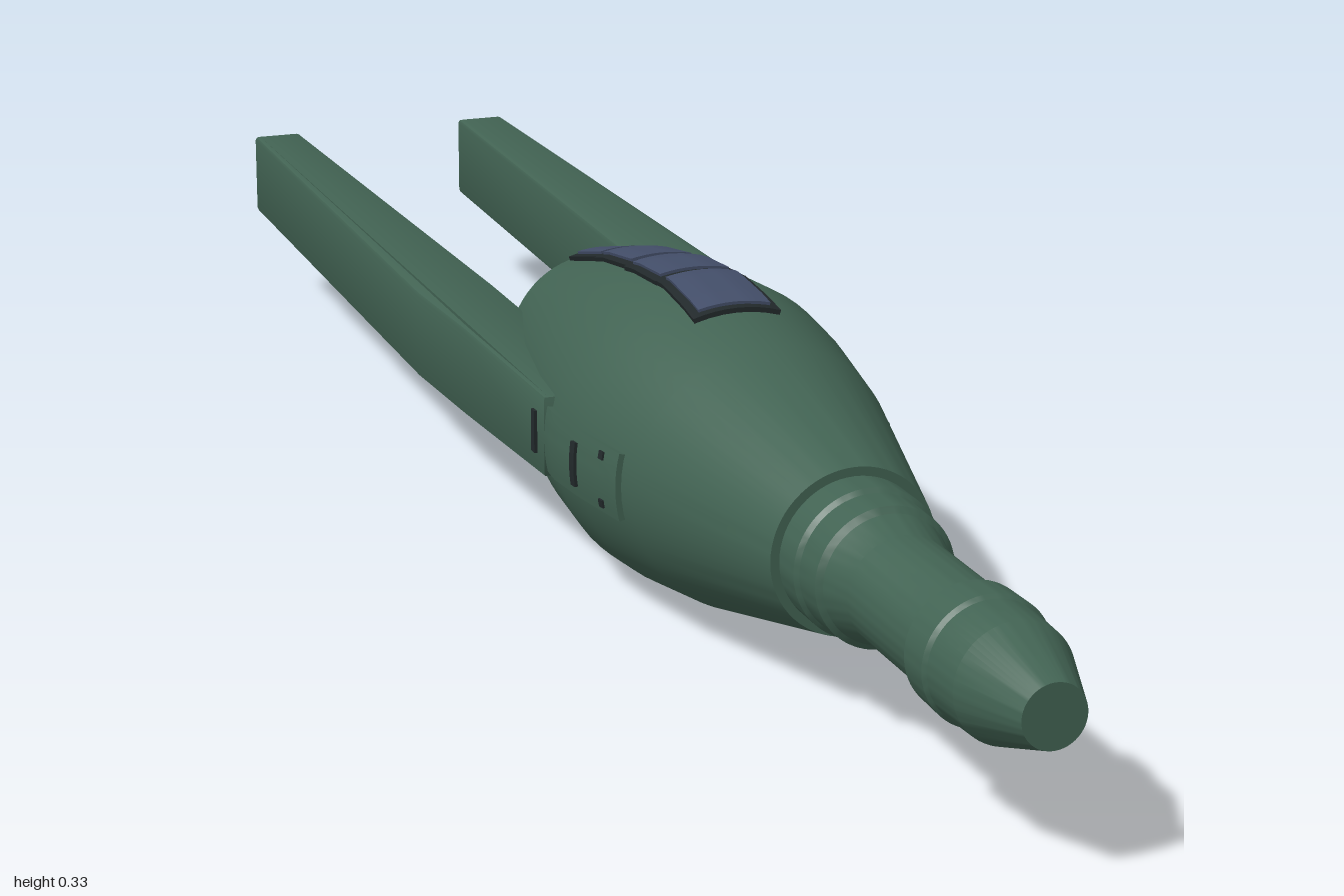
import * as THREE from 'three';
import { toCreasedNormals } from 'three/addons/utils/BufferGeometryUtils.js';

const CY = 0.162; // height of the hull axis

// Hull profile as [z, radius], rear to front
const HULL = [[-0.172, 0.097], [-0.03, 0.135], [0.08, 0.153], [0.17, 0.16], [0.23, 0.155], [0.34, 0.138], [0.565, 0.084]];
const NECK = [[0.55, 0.075], [0.6, 0.075], [0.605, 0.071], [0.64, 0.07], [0.645, 0.064], [0.68, 0.055], [0.82, 0.055],
  [0.825, 0.062], [0.865, 0.063], [0.87, 0.06], [0.92, 0.058], [1, 0.031]];

function hullRadius(z) {
  for (let i = 1; i < HULL.length; i++) {
    const [z0, r0] = HULL[i - 1], [z1, r1] = HULL[i];
    if (z <= z1) return r0 + (r1 - r0) * (z - z0) / (z1 - z0);
  }
  return HULL[HULL.length - 1][1];
}

// Capped solid of revolution along z
function revolve(profile) {
  const pts = profile.map(([z, r]) => new THREE.Vector2(r, z));
  pts.unshift(new THREE.Vector2(0, pts[0].y));
  pts.push(new THREE.Vector2(0, pts[pts.length - 1].y));
  const geo = new THREE.LatheGeometry(pts, 64).rotateX(Math.PI / 2).translate(0, CY, 0);
  return toCreasedNormals(geo, 0.3);
}

// Slab bent over the hull: z range, half widths at both ends, angle from the top, outer offset
function patch(z0, z1, w0, w1, angle, lift, shift = 0) {
  const geo = new THREE.BoxGeometry(2, 1, 1, 8, 1, 12);
  const p = geo.attributes.position;
  for (let i = 0; i < p.count; i++) {
    const t = p.getZ(i) + 0.5;
    const z = z0 + (z1 - z0) * t;
    const r = hullRadius(z);
    const a = angle + (p.getX(i) * (w0 + (w1 - w0) * t) + shift) / r;
    const R = r + (p.getY(i) > 0 ? lift : -0.008);
    p.setXYZ(i, Math.sin(a) * R, CY + Math.cos(a) * R, z);
  }
  return toCreasedNormals(geo, 0.5);
}

// Long tapered boom drawn in plan and extruded downwards
function boom(s) {
  const plan = [[0.164, 0.145], [0.172, -0.1], [0.178, -0.25], [0.163, -1], [0.106, -1], [0.09, -0.25], [0.09, -0.1], [0.13, 0.145]];
  const shape = new THREE.Shape(plan.map(([x, z]) => new THREE.Vector2(s * x, z)));
  const b = 0.005, h = 0.098;
  const geo = new THREE.ExtrudeGeometry(shape, {
    depth: h - 2 * b, bevelThickness: b, bevelSize: b, bevelOffset: -b, bevelSegments: 2,
  });
  geo.translate(0, 0, b - h / 2).rotateX(Math.PI / 2);
  const p = geo.attributes.position;
  for (let i = 0; i < p.count; i++) if (p.getZ(i) > 0.1) p.setY(i, p.getY(i) * 0.88);
  geo.translate(0, CY + 0.002, 0);
  return toCreasedNormals(geo, 0.5);
}

export function createModel() {
  const model = new THREE.Group();
  const make = (name, color) => {
    const m = new THREE.MeshStandardMaterial({ color });
    m.name = name;
    return m;
  };
  const green = make('hull green', 0x426353);
  const dark = make('dark trim', 0x22292b);
  const glass = make('canopy glass', 0x434e69);
  const add = (name, geo, mat) => {
    const mesh = new THREE.Mesh(geo, mat);
    mesh.name = name;
    model.add(mesh);
    return mesh;
  };

  add('hull', revolve(HULL), green);
  add('neckAndNose', revolve(NECK), green);

  // Canopy: stepped frame sections, each with one raised pane
  const panes = [[-0.16, -0.057, 0.031, 0.036], [-0.057, 0.052, 0.038, 0.041], [0.052, 0.15, 0.044, 0.045], [0.15, 0.262, 0.044, 0.046]];
  panes.forEach(([z0, z1, w0, w1], i) => {
    add('canopyFrame' + i, patch(z0, z1, w0, w1, 0, 0.005), dark);
    add('canopyPane' + i, patch(z0 + 0.008, z1 - 0.008, w0 - 0.008, w1 - 0.009, 0, 0.008), glass);
  });

  for (const s of [1, -1]) {
    const side = s > 0 ? 'left' : 'right';
    const a = s * Math.PI / 2;
    add(side + 'Boom', boom(s), green);
    // Mounting plate ahead of the boom, with slot and rivets
    add(side + 'MountPlate', patch(0.1, 0.315, 0.034, 0.034, a, 0.006), green);
    add(side + 'PlateSlot', patch(0.224, 0.234, 0.022, 0.022, a, 0.009), dark);
    for (const v of [-0.024, 0.024]) {
      add(side + 'Rivet', patch(0.28, 0.288, 0.004, 0.004, a, 0.008, v), dark);
    }
    const slot = add(side + 'BoomSlot', new THREE.BoxGeometry(0.008, 0.045, 0.01), dark);
    slot.position.set(s * 0.164, CY + 0.002, 0.12);
  }
  return model;
}
